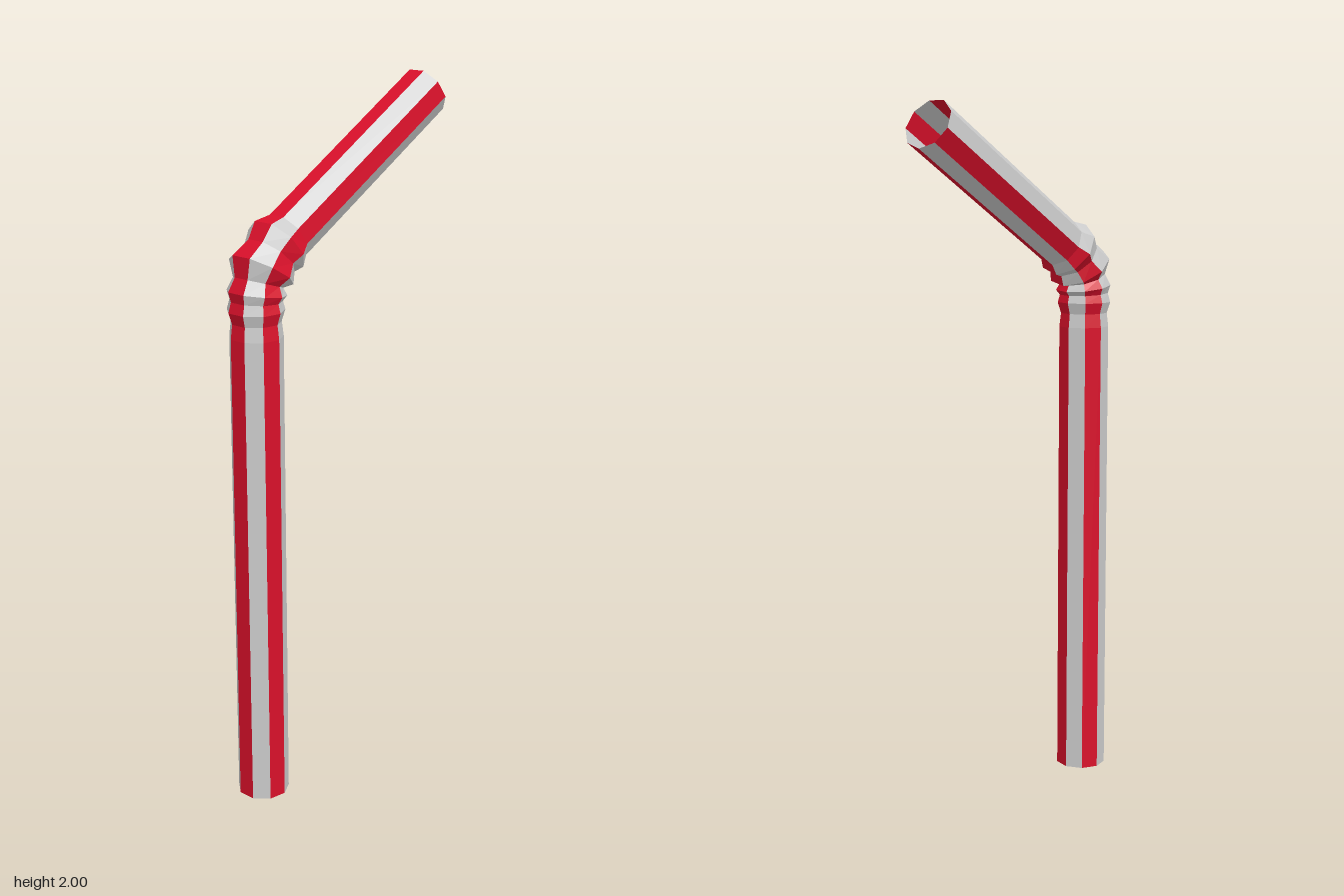
import * as THREE from 'three';

const SIDES = 9;
const RED_SIDES = [0, 2, 4, 6];

// Cross-sections along the straw: [centre z, centre y, radius, tilt towards the back in degrees]
const lower = [[0.328, 0, 0.0738, 0], [0.328, 1.36, 0.0738, 0]];
const upper = [[0.21, 1.611, 0.073, 60], [-0.363, 1.94, 0.0738, 60]];
const bend = [
  lower[1],
  [0.328, 1.4, 0.069, 0],
  [0.328, 1.432, 0.079, 0],
  [0.327, 1.457, 0.072, 3],
  [0.324, 1.477, 0.082, 8],
  [0.318, 1.505, 0.069, 18],
  [0.305, 1.535, 0.093, 33],
  [0.272, 1.567, 0.077, 44],
  [0.245, 1.592, 0.09, 54],
  upper[0],
];

// Corner i of a cross-section; side 0 faces the front
function corner([z, y, r, tilt], i) {
  const angle = ((i - 0.5) / SIDES) * Math.PI * 2;
  const t = THREE.MathUtils.degToRad(tilt);
  const out = Math.cos(angle) * r;
  return [Math.sin(angle) * r, y + out * Math.sin(t), z + out * Math.cos(t)];
}

// Long strips of the chosen sides, running through all cross-sections
function strips(name, rings, sides, material) {
  const points = [];
  for (let k = 0; k < rings.length - 1; k++) {
    for (const i of sides) {
      const a = corner(rings[k], i), b = corner(rings[k], i + 1);
      const c = corner(rings[k + 1], i + 1), d = corner(rings[k + 1], i);
      points.push(...a, ...b, ...c, ...a, ...c, ...d);
    }
  }
  const geometry = new THREE.BufferGeometry();
  geometry.setAttribute('position', new THREE.Float32BufferAttribute(points, 3));
  geometry.computeVertexNormals();
  const mesh = new THREE.Mesh(geometry, material);
  mesh.name = name;
  return mesh;
}

export function createModel() {
  const straw = new THREE.Group();
  straw.name = 'drinkingStraw';
  const make = (color) => new THREE.MeshStandardMaterial({ color, flatShading: true, side: THREE.DoubleSide });
  const red = make(0xd8102a);
  const grey = make(0xcccccc);
  const greySides = [...Array(SIDES).keys()].filter((i) => !RED_SIDES.includes(i));

  // Open tube: straight stem, ribbed bend and slanted mouth end
  for (const [name, rings] of Object.entries({ stem: lower, ribbedBend: bend, mouthEnd: upper })) {
    const part = new THREE.Group();
    part.name = name;
    part.add(strips(name + 'RedStripes', rings, RED_SIDES, red));
    part.add(strips(name + 'PlainStripes', rings, greySides, grey));
    straw.add(part);
  }
  return straw;
}
